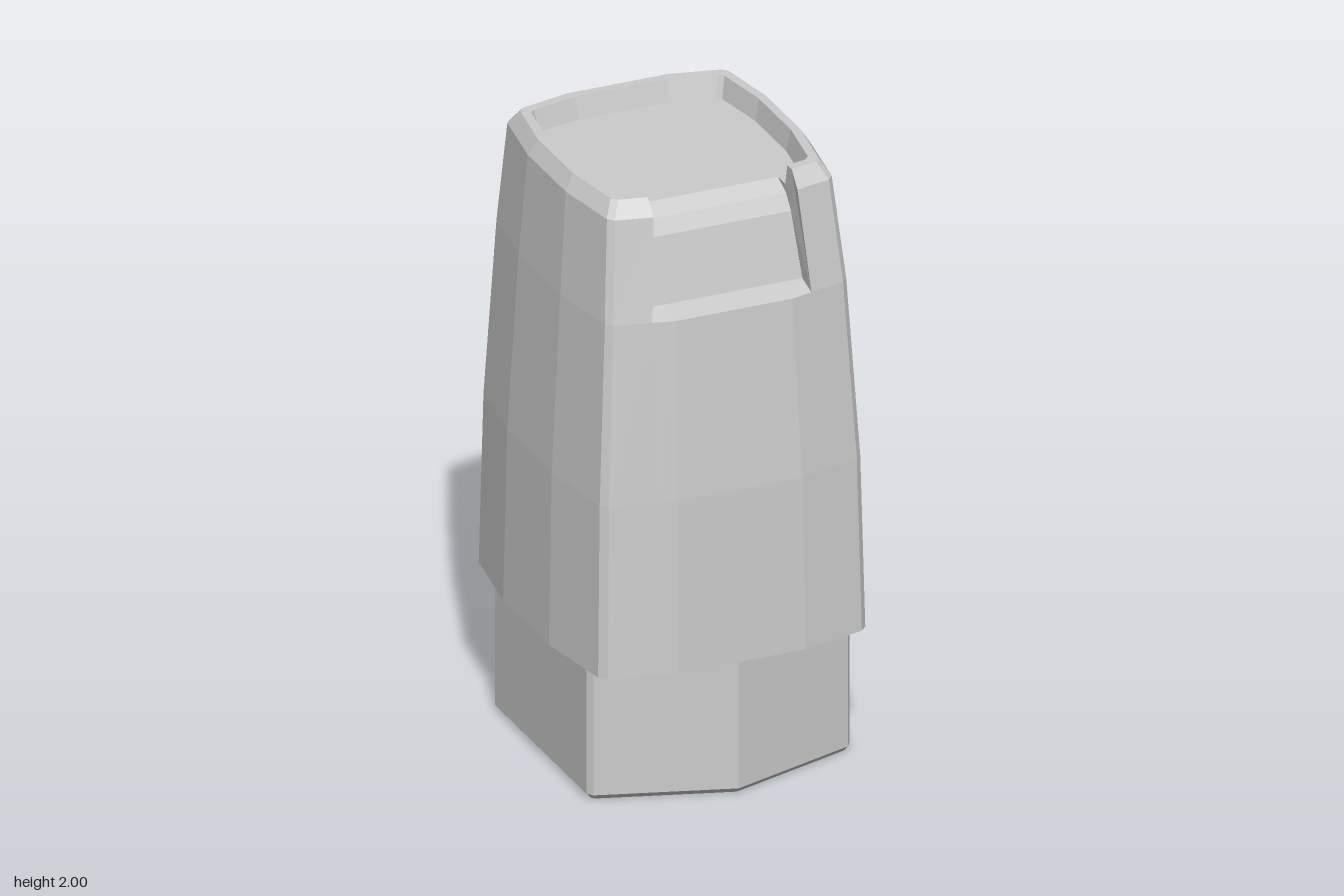
import * as THREE from 'three';

const material = new THREE.MeshStandardMaterial({ color: 0xcccccc, flatShading: true, side: THREE.DoubleSide });

// Shell levels: y, half width, front z, back z (outer wall, rim, then inner lip down to the tray)
const LEVELS = [
  [0.455, 0.487, 0.56, -0.478],
  [1.03, 0.475, 0.545, -0.465],
  [1.62, 0.44, 0.507, -0.435],
  [1.95, 0.41, 0.455, -0.41],
  [2.0, 0.38, 0.415, -0.37],
  [2.0, 0.352, 0.385, -0.34],
  [1.93, 0.337, 0.37, -0.322],
];
const NOTCH_LEVEL = 2;
const TRAY_Y = 1.93;

// Half outline of the bowed rectangle, front to back, in unit coordinates
const OUTLINE = [[0.44, 1], [0.87, 0.905], [0.915, 0.86], [1, 0.33], [1, -0.33], [0.915, -0.86], [0.87, -0.905], [0.44, -1]];

// Half width of the front notch, narrowing upwards
const notchX = (y) => 0.265 - 0.025 * Math.min(1, Math.max(0, (y - 1.62) / 0.31));

function ring([y, hx, zf, zb]) {
  const t = (notchX(y) / hx - 0.44) / (0.87 - 0.44);
  const half = [OUTLINE[0], [notchX(y) / hx, 1 - t * 0.095], ...OUTLINE.slice(1)]
    .map(([u, v]) => new THREE.Vector3(u * hx, y, (zf + zb) / 2 + v * (zf - zb) / 2));
  const mirrored = half.map((p) => new THREE.Vector3(-p.x, p.y, p.z)).reverse();
  return [...half, ...mirrored];
}

function quads(list) {
  const points = list.flatMap(([a, b, c, d]) => [a, b, c, a, c, d]);
  const geometry = new THREE.BufferGeometry().setFromPoints(points);
  geometry.computeVertexNormals();
  return geometry;
}

const flatShape = (pairs) => new THREE.ShapeGeometry(new THREE.Shape(pairs.map(([a, b]) => new THREE.Vector2(a, b))));

export function createModel() {
  const model = new THREE.Group();
  const add = (name, geometry) => {
    const mesh = new THREE.Mesh(geometry, material);
    mesh.name = name;
    model.add(mesh);
    return mesh;
  };

  // Tapered shell, open at the front notch
  const rings = LEVELS.map(ring);
  const count = rings[0].length;
  const walls = [];
  for (let r = 0; r < rings.length - 1; r++) {
    for (let i = 0; i < count; i++) {
      const inNotch = i === 0 || i >= count - 2;
      if (r >= NOTCH_LEVEL && inNotch) continue;
      const j = (i + 1) % count;
      walls.push([rings[r][i], rings[r][j], rings[r + 1][j], rings[r + 1][i]]);
    }
  }
  add('shell', quads(walls));

  // Underside of the shell
  add('shellUnderside', flatShape(rings[0].map((p) => [p.x, p.z])).rotateX(Math.PI / 2)).position.y = LEVELS[0][0];

  // Recessed tray on top, ending at the notch
  const w = notchX(TRAY_Y);
  const trayEdge = rings[6].slice(1, count - 1).map((p) => [p.x, -p.z]);
  add('topTray', flatShape([...trayEdge, [-w, -0.295], [w, -0.295]]).rotateX(-Math.PI / 2)).position.y = TRAY_Y;

  // Sloping panel in the notch: ledge, slope and rounded top
  const profile = [[0.425, 1.64], [0.378, 1.85], [0.35, 1.9], [0.295, TRAY_Y]];
  const columns = [count - 2, count - 1, 0, 1].map((i) => rings[NOTCH_LEVEL][i]);
  const rows = [columns, ...profile.map(([z, y]) =>
    columns.map((p) => new THREE.Vector3(p.x * notchX(y) / notchX(1.62), y, z)))];
  const panel = [];
  for (let r = 0; r < rows.length - 1; r++) {
    for (let c = 0; c < 3; c++) panel.push([rows[r][c], rows[r][c + 1], rows[r + 1][c + 1], rows[r + 1][c]]);
  }
  add('notchPanel', quads(panel));

  // Side cheeks of the notch
  const cheek = [...rings.slice(NOTCH_LEVEL).map((q) => [q[1].z, q[1].y]), ...profile.slice().reverse()];
  for (const side of [1, -1]) {
    const geometry = flatShape(cheek);
    const pos = geometry.attributes.position;
    for (let i = 0; i < pos.count; i++) {
      const z = pos.getX(i), y = pos.getY(i);
      pos.setXYZ(i, side * notchX(y), y, z);
    }
    geometry.computeVertexNormals();
    add(side > 0 ? 'leftNotchCheek' : 'rightNotchCheek', geometry);
  }

  // Six-sided base plug with clipped side corners and a bevelled foot
  const side = [[0, 0.54], [0.425, 0.405], [0.438, 0.385], [0.438, -0.3], [0.425, -0.32], [0, -0.46]];
  const plug = [...side, ...side.slice(1, 5).reverse().map(([x, z]) => [-x, z])];
  const plugShape = new THREE.Shape(plug.map(([x, z]) => new THREE.Vector2(x, -z)));
  const plugGeometry = new THREE.ExtrudeGeometry(plugShape, {
    depth: 0.44, bevelThickness: 0.018, bevelSize: 0.015, bevelOffset: -0.015, bevelSegments: 1,
  });
  add('basePlug', plugGeometry.rotateX(-Math.PI / 2)).position.y = 0.018;

  // Eight-sided button on the back
  const button = add('backButton', new THREE.CylinderGeometry(0.118, 0.152, 0.11, 8).rotateX(-Math.PI / 2));
  button.position.set(-0.03, 0.755, -0.507);

  return model;
}
